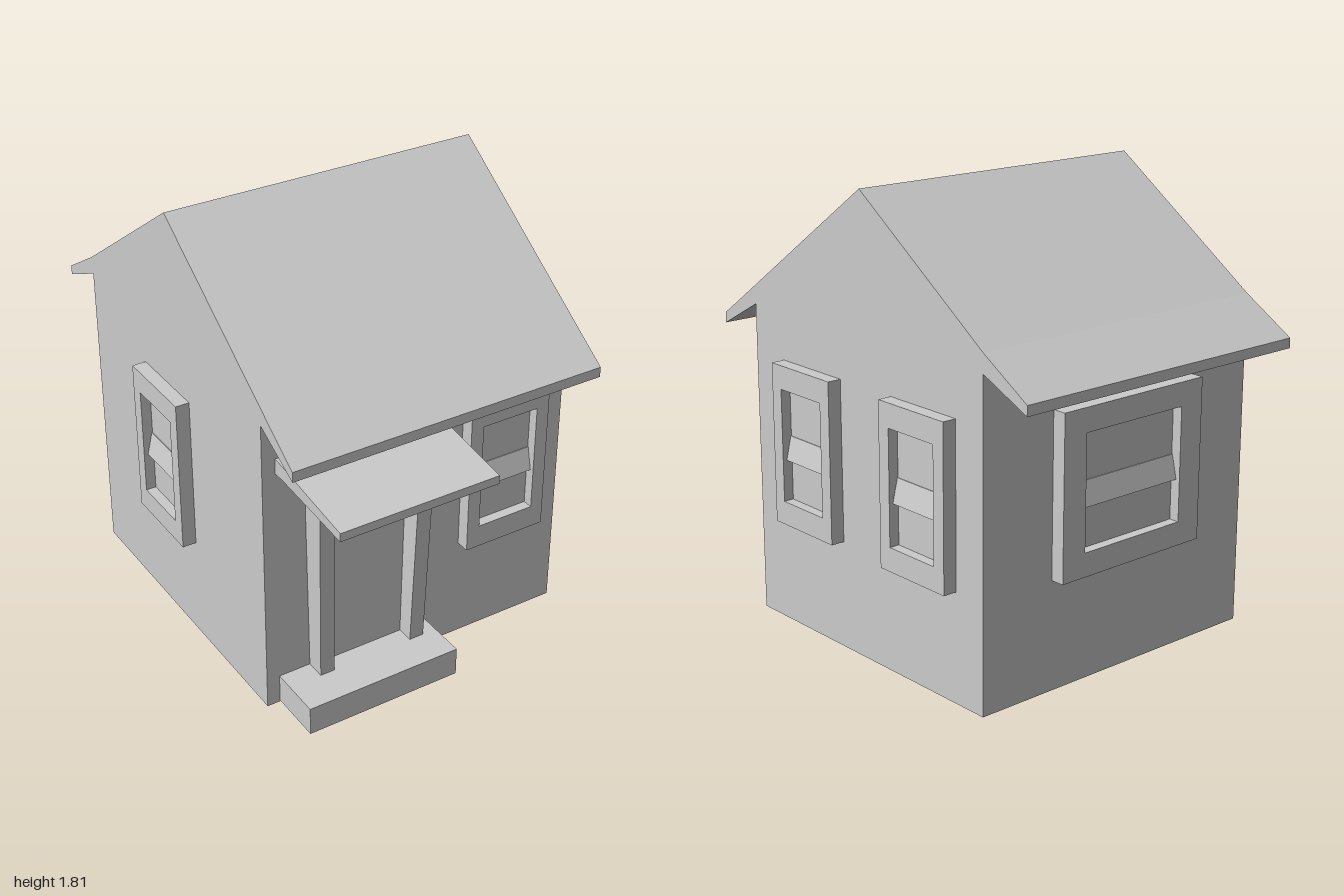
import * as THREE from 'three';

const material = new THREE.MeshStandardMaterial({ color: 0xcccccc, flatShading: true });
const FRONT = 0.565, BACK = -0.78, SIDE = 0.67;

const polygon = (points) => new THREE.Shape(points.map(([x, y]) => new THREE.Vector2(x, y)));

function part(name, geometry) {
  const mesh = new THREE.Mesh(geometry, material);
  mesh.name = name;
  return mesh;
}

const extrude = (shape, depth) =>
  new THREE.ExtrudeGeometry(shape, { depth, bevelEnabled: false });

// Extrudes a [z, y] profile along x, from x0 to x1
function extrudeAlongX(points, x0, x1) {
  const geometry = extrude(polygon(points.map(([z, y]) => [-z, y])), x1 - x0);
  return geometry.rotateY(Math.PI / 2).translate(x0, 0, 0);
}

// Window facing +z, with its back on z = 0; the borders widen with the window
function createWindow(width) {
  const group = new THREE.Group();
  group.name = 'window';
  const half = width / 2, inner = width * 0.345;
  const bottom = 0.435, top = 1.08, sill = 0.53, head = 0.985;
  const railLow = 0.695, railHigh = 0.79, glassZ = 0.015;

  // Frame
  const frame = polygon([[-half, bottom], [half, bottom], [half, top], [-half, top]]);
  frame.holes.push(polygon([[-inner, sill], [-inner, head], [inner, head], [inner, sill]]));
  group.add(part('windowFrame', extrude(frame, 0.057)));

  // Panes, the upper one split by two diagonal glints
  const glass = new THREE.ShapeGeometry([
    polygon([[-inner, sill], [inner, sill], [inner, railLow], [-inner, railLow]]),
    polygon([[-inner, 0.85], [inner * 0.58, head], [-inner, head]]),
    polygon([[-inner, railHigh], [-inner * 0.16, railHigh], [inner, 0.98],
      [inner, head], [inner * 0.58, head], [-inner, 0.85]]),
    polygon([[-inner * 0.16, railHigh], [inner, railHigh], [inner, 0.98]]),
  ]);
  group.add(part('glass', glass.translate(0, 0, glassZ)));

  // Meeting rail, leaning outwards towards its lower edge
  group.add(part('windowRail', extrudeAlongX(
    [[0, railLow], [0.04, railLow], [glassZ + 0.003, railHigh], [0, railHigh]], -inner, inner)));
  return group;
}

export function createModel() {
  const house = new THREE.Group();
  house.name = 'house';

  // Walls, gables and roof share one cross-section
  house.add(part('wallsAndRoof', extrudeAlongX([
    [BACK, 0], [FRONT, 0], [FRONT, 1.27], [0.78, 1.155], [0.78, 1.197],
    [FRONT, 1.345], [-0.11, 1.812], [BACK, 1.345], [-1, 1.21], [-1, 1.17], [BACK, 1.27],
  ], -SIDE, SIDE)));

  // Porch step and sloping canopy
  house.add(part('step', extrudeAlongX(
    [[FRONT, 0.005], [0.79, 0.005], [0.79, 0.125], [FRONT, 0.125]], -0.615, 0.05)));
  house.add(part('canopy', extrudeAlongX(
    [[FRONT, 1.05], [0.62, 1.05], [1, 1.02], [1, 1.055], [0.58, 1.113], [FRONT, 1.113]],
    -0.615, 0.05)));

  // Door surround: tapers and leans out towards the top
  const surround = extrude(polygon([
    [-0.48, 0.125], [-0.418, 0.125], [-0.43, 0.935], [-0.06, 0.935],
    [-0.072, 0.125], [-0.01, 0.125], [0.005, 1], [-0.495, 1],
  ]), 1);
  const position = surround.attributes.position;
  for (let i = 0; i < position.count; i++) {
    const lean = (position.getY(i) - 0.125) / 0.875;
    position.setZ(i, FRONT + position.getZ(i) * (0.08 + 0.025 * lean));
  }
  surround.computeVertexNormals();
  house.add(part('doorSurround', surround));

  // Door
  const door = polygon([[-0.418, 0.125], [-0.072, 0.125], [-0.06, 0.935], [-0.43, 0.935]]);
  house.add(part('door', extrude(door, 0.01).translate(0, 0, FRONT)));

  // Windows: name, width, x, z, turn about y
  const quarter = Math.PI / 2;
  for (const [name, width, x, z, turn] of [
    ['frontWindow', 0.362, 0.383, FRONT, 0],
    ['leftFrontWindow', 0.36, SIDE, 0.205, quarter],
    ['leftBackWindow', 0.36, SIDE, -0.455, quarter],
    ['rightWindow', 0.36, -SIDE, -0.16, -quarter],
    ['backWindow', 0.71, -0.015, BACK, Math.PI],
  ]) {
    const pane = createWindow(width);
    pane.name = name;
    pane.position.set(x, 0, z);
    pane.rotation.y = turn;
    house.add(pane);
  }
  return house;
}
